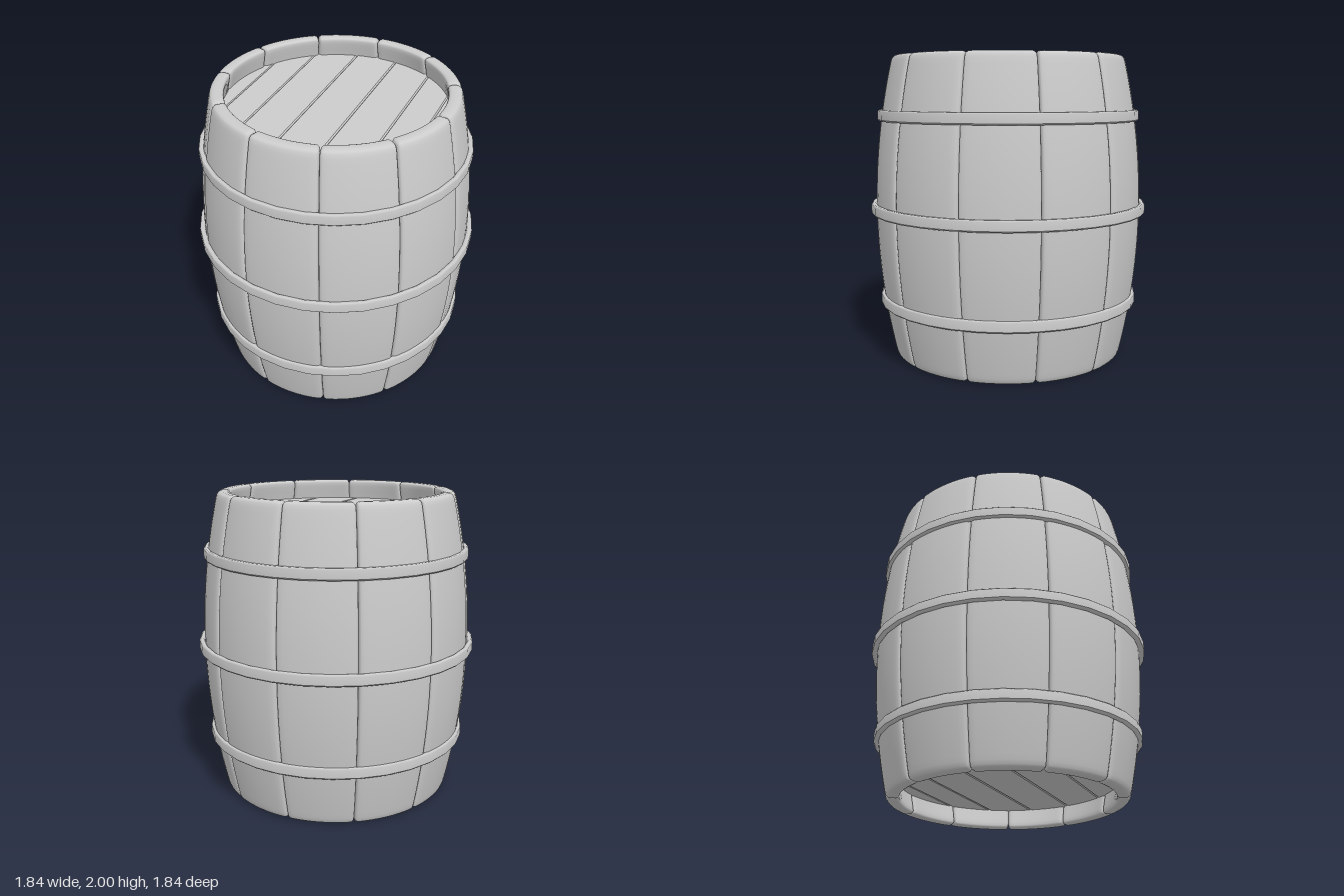
import * as THREE from 'three';
import { mergeVertices } from 'three/addons/utils/BufferGeometryUtils.js';

const STAVES = 11;
const THICKNESS = 0.09;
const material = new THREE.MeshStandardMaterial({ color: 0xcccccc });

// Outer radius of the barrel at height y
const barrelRadius = (y) => 0.885 - 0.12 * (y - 1) ** 2;

// One stave: a rounded plank, bent around the axis and bulged along its height
function staveGeometry() {
  const half = new THREE.Vector3((Math.PI / STAVES) * 0.84, 1, THICKNESS / 2);
  const round = 0.032;
  const geo = new THREE.BoxGeometry(2, 2, 2, 14, 32, 8);
  geo.deleteAttribute('uv');
  geo.deleteAttribute('normal');
  const pos = geo.attributes.position;
  const p = new THREE.Vector3();
  const core = new THREE.Vector3();
  const limit = half.clone().subScalar(round);
  const low = limit.clone().negate();
  const ease = (t) => Math.sin((t * Math.PI) / 2); // crowd the rows near the edges
  for (let i = 0; i < pos.count; i++) {
    p.fromBufferAttribute(pos, i);
    p.set(ease(p.x), ease(p.y), ease(p.z)).multiply(half);
    core.copy(p).clamp(low, limit);
    p.sub(core).setLength(round).add(core);
    const angle = (p.x / half.x) * (Math.PI / STAVES);
    const y = p.y + 1;
    const r = barrelRadius(y) - THICKNESS / 2 + p.z;
    pos.setXYZ(i, Math.sin(angle) * r, y, Math.cos(angle) * r);
  }
  const merged = mergeVertices(geo, 1e-5);
  merged.computeVertexNormals();
  return merged;
}

// Hoop: a flat band with softened edges
function hoopGeometry(outer, height) {
  const inner = outer - 0.036;
  const h = height / 2;
  const b = 0.009;
  const profile = [
    [outer, -h + b], [outer, h - b], [outer - b, h], [inner + b, h],
    [inner, h - b], [inner, -h + b], [inner + b, -h], [outer - b, -h], [outer, -h + b],
  ].map(([r, y]) => new THREE.Vector2(r, y));
  return new THREE.LatheGeometry(profile, 32);
}

// Head: a disc of bevelled boards running along z, its outer face at y = 0
function createHead(name) {
  const head = new THREE.Group();
  head.name = name;
  const R = 0.74;
  const thick = 0.07;
  const bevel = 0.008;
  const edges = [-0.735, -0.61, -0.41, -0.14, 0.14, 0.41, 0.61, 0.735];
  for (let i = 0; i < edges.length - 1; i++) {
    const outline = [];
    const steps = 6;
    for (const side of [-1, 1]) {
      for (let s = 0; s <= steps; s++) {
        const t = side < 0 ? s / steps : 1 - s / steps;
        const x = THREE.MathUtils.lerp(edges[i], edges[i + 1], t);
        outline.push(new THREE.Vector2(x, side * Math.sqrt(R * R - x * x)));
      }
    }
    const geo = new THREE.ExtrudeGeometry(new THREE.Shape(outline), {
      depth: thick - 2 * bevel,
      bevelThickness: bevel,
      bevelSize: bevel,
      bevelOffset: -bevel,
      bevelSegments: 1,
    });
    geo.rotateX(-Math.PI / 2);
    geo.translate(0, bevel - thick, 0);
    const board = new THREE.Mesh(geo, material);
    board.name = 'headBoard';
    head.add(board);
  }
  return head;
}

export function createModel() {
  const barrel = new THREE.Group();
  barrel.name = 'barrel';

  // Staves, one centred on the front
  const staves = new THREE.Group();
  staves.name = 'staves';
  const stave = staveGeometry();
  for (let i = 0; i < STAVES; i++) {
    const mesh = new THREE.Mesh(stave, material);
    mesh.name = 'stave';
    mesh.rotation.y = (i * 2 * Math.PI) / STAVES;
    staves.add(mesh);
  }
  barrel.add(staves);

  // Hoops
  for (const [name, y, r] of [
    ['lowerHoop', 0.39, 0.867],
    ['middleHoop', 1, 0.92],
    ['upperHoop', 1.61, 0.867],
  ]) {
    const hoop = new THREE.Mesh(hoopGeometry(r, 0.072), material);
    hoop.name = name;
    hoop.position.y = y;
    barrel.add(hoop);
  }

  // Recessed heads, the bottom one turned a quarter
  const top = createHead('topHead');
  top.position.y = 1.87;
  const bottom = createHead('bottomHead');
  bottom.position.y = 0.13;
  bottom.rotation.set(Math.PI, Math.PI / 2, 0);
  barrel.add(top, bottom);

  return barrel;
}
